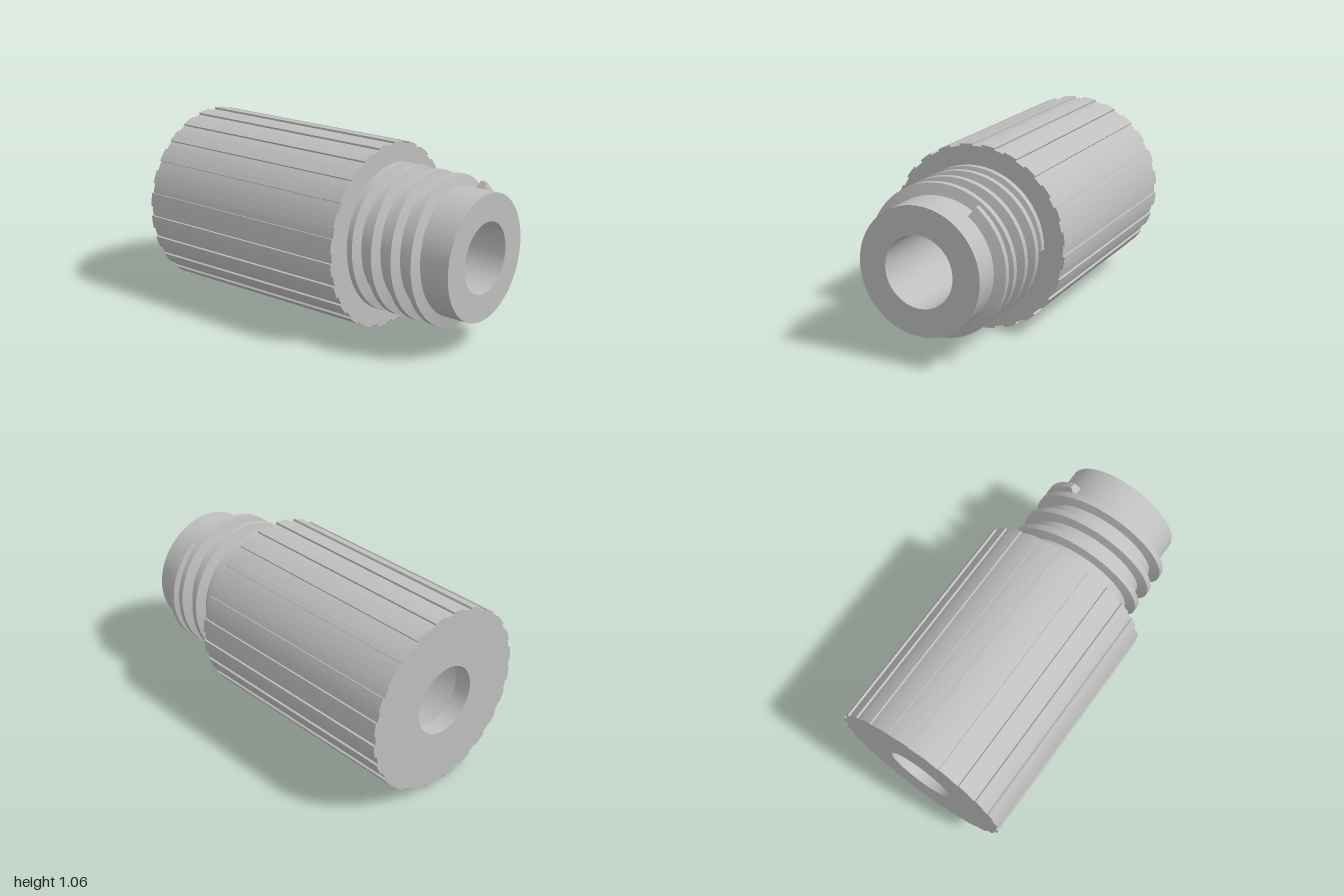
import * as THREE from 'three';
import { toCreasedNormals } from 'three/addons/utils/BufferGeometryUtils.js';

const BODY_BACK = -1, BODY_FRONT = 0.37, TIP = 1;
const R_TOOTH = 0.532, R_GAP = 0.52, R_NECK = 0.356, R_BORE = 0.2;
const TEETH = 24;

// Knurled outline: raised lands separated by shallow grooves
function knurlShape(holeRadius) {
  const pts = [];
  const step = (Math.PI * 2) / TEETH;
  const half = THREE.MathUtils.degToRad(4.25);
  const add = (r, a) => pts.push(new THREE.Vector2(r * Math.cos(a), r * Math.sin(a)));
  for (let i = 0; i < TEETH; i++) {
    const mid = (i + 0.5) * step;
    for (const k of [-1, 0, 1]) add(R_TOOTH, mid + k * half);
    add(R_GAP, mid + half);
    add(R_GAP, mid + step / 2);
    add(R_GAP, mid + step - half);
  }
  const shape = new THREE.Shape(pts);
  if (holeRadius) {
    shape.holes.push(new THREE.Path().absarc(0, 0, holeRadius, 0, Math.PI * 2, true));
  }
  return shape;
}

// Only the side wall of the extruded outline; the end faces are separate
function knurlWall() {
  const solid = new THREE.ExtrudeGeometry(knurlShape(), {
    depth: BODY_FRONT - BODY_BACK, bevelEnabled: false,
  });
  const side = solid.groups[1];
  const pos = solid.attributes.position.array.slice(side.start * 3, (side.start + side.count) * 3);
  const geo = new THREE.BufferGeometry();
  geo.setAttribute('position', new THREE.BufferAttribute(pos, 3));
  geo.translate(0, 0, BODY_BACK);
  geo.computeVertexNormals();
  return geo;
}

// Helical ridge that flattens into a level ring at both ends
function threadGeometry() {
  const profile = [[0.345, 0.036], [0.418, 0.017], [0.418, -0.017], [0.345, -0.036]];
  const pitch = 0.128;
  const start = THREE.MathUtils.degToRad(-324), end = Math.PI * 6.5;
  const n = 256;
  const section = (i) => {
    const t = start + ((end - start) * i) / n;
    const z = THREE.MathUtils.clamp(0.762 - (pitch * t) / (Math.PI * 2), 0.403, 0.817);
    return profile.map(([r, dz]) => [r * Math.sin(t), r * Math.cos(t), z + dz]);
  };
  const out = [];
  const tri = (...corners) => corners.forEach((c) => out.push(...c));
  let prev = section(0);
  tri(prev[0], prev[1], prev[2]);
  tri(prev[0], prev[2], prev[3]);
  for (let i = 1; i <= n; i++) {
    const next = section(i);
    for (let j = 0; j < 3; j++) {
      tri(prev[j], next[j], prev[j + 1]);
      tri(prev[j + 1], next[j], next[j + 1]);
    }
    prev = next;
  }
  tri(prev[0], prev[2], prev[1]);
  tri(prev[0], prev[3], prev[2]);
  const geo = new THREE.BufferGeometry();
  geo.setAttribute('position', new THREE.Float32BufferAttribute(out, 3));
  return toCreasedNormals(geo, 0.4);
}

export function createModel() {
  const group = new THREE.Group();
  group.name = 'threadedAdapter';
  const grey = new THREE.MeshStandardMaterial({ color: 0xbfbfbf });
  grey.name = 'plainGrey';

  const add = (name, geo) => {
    const mesh = new THREE.Mesh(geo, grey);
    mesh.name = name;
    mesh.position.y = R_TOOTH;
    group.add(mesh);
  };

  // Grip body
  add('gripWall', knurlWall());
  add('gripFrontFace', new THREE.ShapeGeometry(knurlShape(R_NECK), 32)
    .translate(0, 0, BODY_FRONT));
  add('gripBackFace', new THREE.ShapeGeometry(knurlShape(R_BORE), 32)
    .rotateY(Math.PI).translate(0, 0, BODY_BACK));

  // Neck, bore and the wider chamber inside the grip
  const profile = [
    [R_NECK, BODY_FRONT], [R_NECK, TIP], [R_BORE, TIP], [R_BORE, 0.2],
    [0.36, 0.2], [0.36, -0.9], [R_BORE, -0.9], [R_BORE, BODY_BACK],
  ].map(([r, z]) => new THREE.Vector2(r, z));
  const neck = new THREE.LatheGeometry(profile, 64).rotateX(Math.PI / 2);
  add('neckAndBore', toCreasedNormals(neck, 0.5));

  // Screw thread
  add('screwThread', threadGeometry());
  return group;
}
